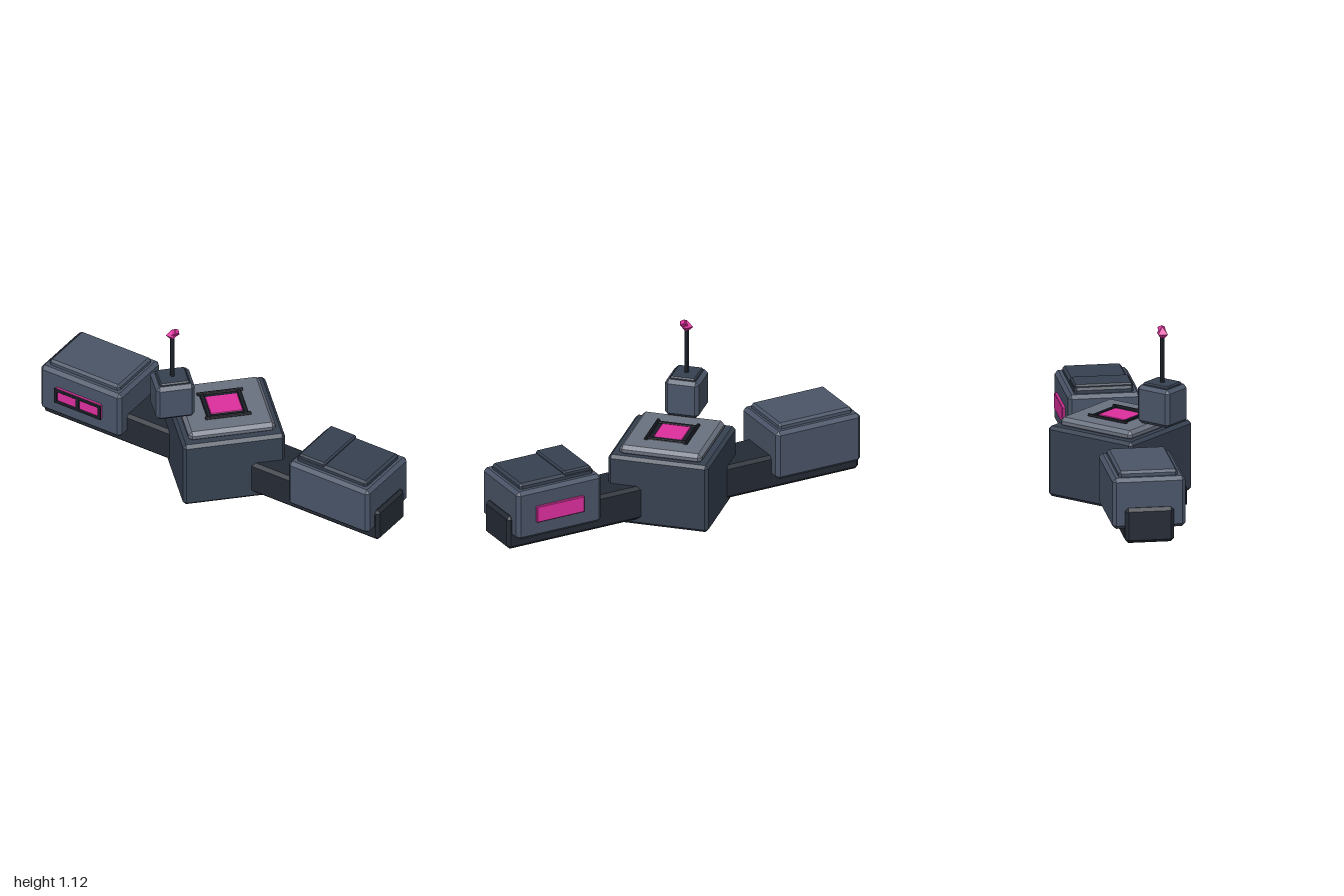
import * as THREE from 'three';
import { ConvexGeometry } from 'three/addons/geometries/ConvexGeometry.js';

const paint = (color) => new THREE.MeshStandardMaterial({ color, flatShading: true });
const slate = paint(0x4a5568), core = paint(0x374151), dark = paint(0x252b35);
const grey = paint(0x6b7280), black = paint(0x1a1e27), pink = paint(0xdf2f9f);

// Box with every edge cut by a flat bevel b
function bevelBox(w, h, d, b) {
  const pts = [];
  for (const x of [-1, 1]) for (const y of [-1, 1]) for (const z of [-1, 1]) {
    for (let axis = 0; axis < 3; axis++) {
      const half = [w / 2, h / 2, d / 2].map((s, i) => (i === axis ? s : s - b));
      pts.push(new THREE.Vector3(x * half[0], y * half[1], z * half[2]));
    }
  }
  return new ConvexGeometry(pts);
}

function add(parent, name, geometry, material, x = 0, y = 0, z = 0) {
  const mesh = new THREE.Mesh(geometry, material);
  mesh.name = name;
  mesh.position.set(x, y, z);
  parent.add(mesh);
  return mesh;
}

// Bevelled box given by its extents on each axis
function block(parent, name, material, [x0, x1], [y0, y1], [z0, z1], b) {
  return add(parent, name, bevelBox(x1 - x0, y1 - y0, z1 - z0, b), material,
    (x0 + x1) / 2, (y0 + y1) / 2, (z0 + z1) / 2);
}

// Arm reaching along local +x: beam, pod and glowing side panel
function makeArm(name, panelSide) {
  const arm = new THREE.Group();
  arm.name = name;
  block(arm, 'beam', dark, [0.1, 1.22], [0.04, 0.26], [-0.15, 0.15], 0.02);
  block(arm, 'pod', slate, [0.608, 1.195], [0.125, 0.445], [-0.225, 0.225], 0.022);
  const panelX = 0.905;
  block(arm, 'sidePanel', pink, [panelX - 0.165, panelX + 0.165], [0.23, 0.335],
    panelSide > 0 ? [0.215, 0.243] : [-0.243, -0.215], 0.004);
  return arm;
}

export function createModel() {
  const model = new THREE.Group();
  model.name = 'modularStation';

  // Central hub with its top plate
  block(model, 'hub', core, [-0.317, 0.317], [0, 0.445], [-0.317, 0.317], 0.02);
  block(model, 'topPlate', grey, [-0.27, 0.27], [0.43, 0.495], [-0.26, 0.26], 0.022);

  // Screen framed by two rods and two flat strips
  block(model, 'screenBase', black, [-0.13, 0.13], [0.485, 0.498], [-0.125, 0.125], 0.003);
  block(model, 'screen', pink, [-0.1, 0.1], [0.49, 0.502], [-0.09, 0.09], 0.003);
  for (const s of [-1, 1]) {
    const rod = add(model, 'screenRod', new THREE.CylinderGeometry(0.012, 0.012, 0.285, 8), black, 0, 0.499, s * 0.126);
    rod.rotation.z = Math.PI / 2;
    block(model, 'screenStrip', black, [s * 0.115 - 0.013, s * 0.115 + 0.013], [0.49, 0.505], [-0.125, 0.125], 0.003);
  }

  // Front arm with a split, dark lid
  const front = makeArm('frontArm', -1);
  front.rotation.y = -Math.PI / 4;
  block(front, 'podLid', core, [0.645, 1.155], [0.43, 0.48], [-0.182, 0.182], 0.015);
  block(front, 'raisedHatch', core, [0.66, 0.85], [0.46, 0.497], [-0.18, 0.18], 0.01);
  model.add(front);

  // Rear arm with a plain lid and a framed window
  const rear = makeArm('rearArm', -1);
  rear.rotation.y = Math.PI * 0.75;
  block(rear, 'podLid', slate, [0.645, 1.155], [0.43, 0.48], [-0.182, 0.182], 0.015);
  for (const y of [0.24, 0.325])
    block(rear, 'windowRail', black, [0.735, 1.075], [y - 0.01, y + 0.01], [-0.25, -0.24], 0.002);
  for (const x of [0.747, 0.905, 1.063])
    block(rear, 'windowPost', black, [x - 0.012, x + 0.012], [0.23, 0.335], [-0.25, -0.24], 0.002);
  model.add(rear);

  // Floating side module carrying the antenna
  const beacon = new THREE.Group();
  beacon.name = 'beacon';
  beacon.position.x = -0.32;
  block(beacon, 'beaconBody', slate, [-0.12, 0.12], [0.505, 0.745], [-0.107, 0.107], 0.022);
  block(beacon, 'beaconLid', core, [-0.092, 0.092], [0.735, 0.76], [-0.08, 0.08], 0.008);
  add(beacon, 'antenna', new THREE.CylinderGeometry(0.014, 0.014, 0.31, 8), dark, 0, 0.9, 0);
  add(beacon, 'antennaTip', new THREE.OctahedronGeometry(0.042), pink, 0, 1.067, 0);
  const cube = add(beacon, 'antennaCrystal', bevelBox(0.035, 0.06, 0.035, 0.003), pink, 0.008, 1.08, 0.008);
  cube.rotation.set(0.5, 0, -0.6);
  model.add(beacon);

  return model;
}
